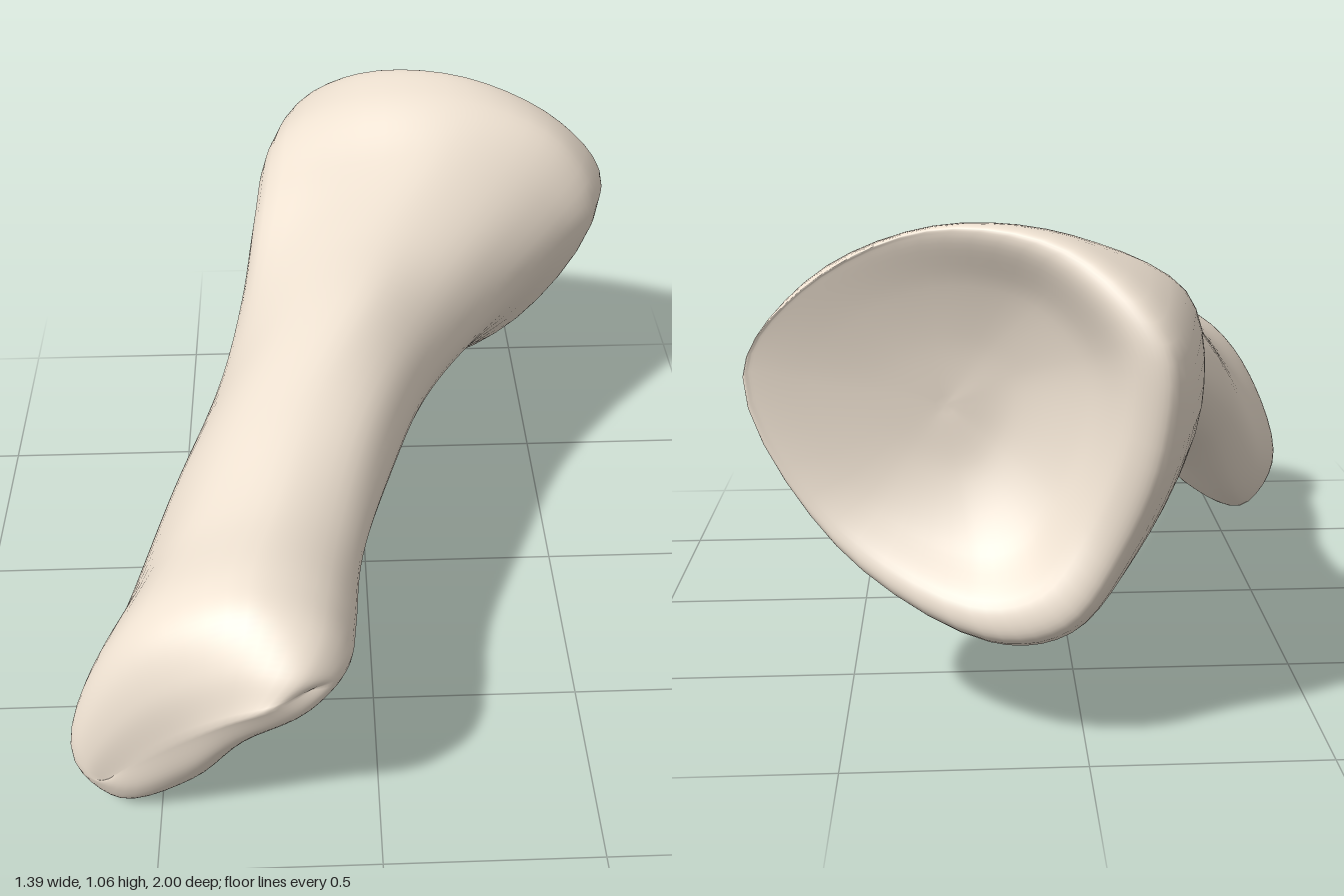
import * as THREE from 'three';
import { mergeVertices } from 'three/addons/utils/BufferGeometryUtils.js';

const AROUND = 50, ALONG = 100;

// Ring of ten points (x, y pairs, from the right, over the top); z may slope with x
function ring(z, slopeX, xy) {
  const points = [];
  for (let i = 0; i < xy.length; i += 2) {
    points.push(new THREE.Vector3(xy[i], xy[i + 1], z + slopeX * xy[i]));
  }
  return points;
}

// Ring with its own z for each point
function unevenRing(z, xy) {
  return ring(0, 0, xy).map((p, i) => p.setZ(z[i]));
}

// Smooth surface through all rings, splined around and along
function loft(rings) {
  const loops = rings.map((r) => {
    const curve = new THREE.CatmullRomCurve3(r, true, 'centripetal');
    return Array.from({ length: AROUND }, (_, j) => curve.getPoint(j / AROUND));
  });
  const positions = [], index = [];
  const columns = loops[0].map((_, j) =>
    new THREE.CatmullRomCurve3(loops.map((l) => l[j]), false, 'centripetal').getPoints(ALONG));
  for (let i = 0; i <= ALONG; i++) {
    for (let j = 0; j < AROUND; j++) {
      positions.push(...columns[j][i].toArray());
      if (i === ALONG) continue;
      const a = i * AROUND + j, b = i * AROUND + (j + 1) % AROUND;
      index.push(a, a + AROUND, b, b, a + AROUND, b + AROUND);
    }
  }
  let geometry = new THREE.BufferGeometry();
  geometry.setAttribute('position', new THREE.Float32BufferAttribute(positions, 3));
  geometry.setIndex(index);
  geometry = mergeVertices(geometry, 1e-4);
  geometry.computeVertexNormals();
  return geometry;
}

export function createModel() {
  // Narrow slanted head
  const head = ring(0.76, 0, [-0.05, 0.5, -0.11, 0.61, -0.27, 0.665, -0.5, 0.56, -0.64, 0.36,
    -0.695, 0.13, -0.6, 0, -0.42, 0.08, -0.28, 0.26, -0.11, 0.4]);

  // Crest closing the head: a ring folded flat, out and back along one line
  const line = [[-0.15, 0.51, 0.95], [-0.23, 0.5, 0.995], [-0.33, 0.43, 0.965],
    [-0.44, 0.32, 0.91], [-0.55, 0.2, 0.865], [-0.62, 0.11, 0.835]];
  const crest = head.map((_, i) => new THREE.Vector3(...line[Math.min(i, 10 - i)]));
  const cap = (angle) => head.map((p, i) => p.clone()
    .lerp(crest[i], 1 - Math.cos(angle))
    .setZ(THREE.MathUtils.lerp(p.z, crest[i].z, Math.sin(angle))));

  // Shaft, from the neck of the head to the flare
  const shaft = [
    ring(0.57, 0, [-0.03, 0.52, -0.08, 0.62, -0.22, 0.683, -0.42, 0.61, -0.56, 0.41,
      -0.615, 0.2, -0.54, 0.085, -0.4, 0.17, -0.27, 0.31, -0.1, 0.42]),
    ring(0.3, 0, [0.05, 0.56, 0, 0.7, -0.14, 0.755, -0.31, 0.71, -0.44, 0.57,
      -0.485, 0.42, -0.43, 0.32, -0.3, 0.32, -0.16, 0.37, -0.02, 0.44]),
    ring(0, 0, [0.165, 0.595, 0.125, 0.74, 0, 0.84, -0.18, 0.81, -0.31, 0.7,
      -0.37, 0.56, -0.32, 0.46, -0.19, 0.43, -0.04, 0.43, 0.1, 0.475]),
    ring(-0.25, 0, [0.33, 0.62, 0.275, 0.79, 0.1, 0.885, -0.1, 0.87, -0.27, 0.77,
      -0.315, 0.63, -0.26, 0.5, -0.12, 0.42, 0.06, 0.42, 0.22, 0.47]),
    ring(-0.5, 0, [0.55, 0.69, 0.46, 0.86, 0.24, 0.965, 0.02, 0.95, -0.24, 0.87,
      -0.28, 0.68, -0.2, 0.47, -0.02, 0.3, 0.14, 0.29, 0.36, 0.39]),
    ring(-0.7, 0.14, [0.655, 0.73, 0.55, 0.93, 0.3, 1.04, 0.02, 1.03, -0.215, 0.91,
      -0.25, 0.67, -0.13, 0.38, 0.03, 0.21, 0.2, 0.2, 0.48, 0.38]),
  ];

  // Uneven rim of the socket
  const rim = unevenRing([-0.73, -0.74, -0.77, -0.87, -0.99, -0.99, -0.96, -0.965, -0.91, -0.77],
    [0.69, 0.75, 0.565, 0.93, 0.3, 1.055, 0.02, 1.025, -0.15, 0.86,
      -0.15, 0.65, -0.07, 0.43, 0.04, 0.28, 0.2, 0.24, 0.51, 0.4]);

  // Hollow socket, with a lip that is broad on one side
  const hollow = (cx, cy, scale, depth) => rim.map((p) => new THREE.Vector3(
    cx + (p.x - cx) * scale, cy + (p.y - cy) * scale, THREE.MathUtils.lerp(p.z, -0.71, depth)));

  const bone = new THREE.Mesh(
    loft([crest, cap(Math.PI / 3), cap(Math.PI / 6), head, ...shaft, rim,
      hollow(0.55, 0.85, 0.9, 0.05), hollow(0.31, 0.7, 0.66, 0.55),
      hollow(0.29, 0.69, 0.35, 0.9), hollow(0.28, 0.68, 0, 1)]),
    new THREE.MeshStandardMaterial({ color: 0xeee1d1 }),
  );
  bone.name = 'bone';
  const group = new THREE.Group();
  group.name = 'boneModel';
  group.add(bone);
  return group;
}
